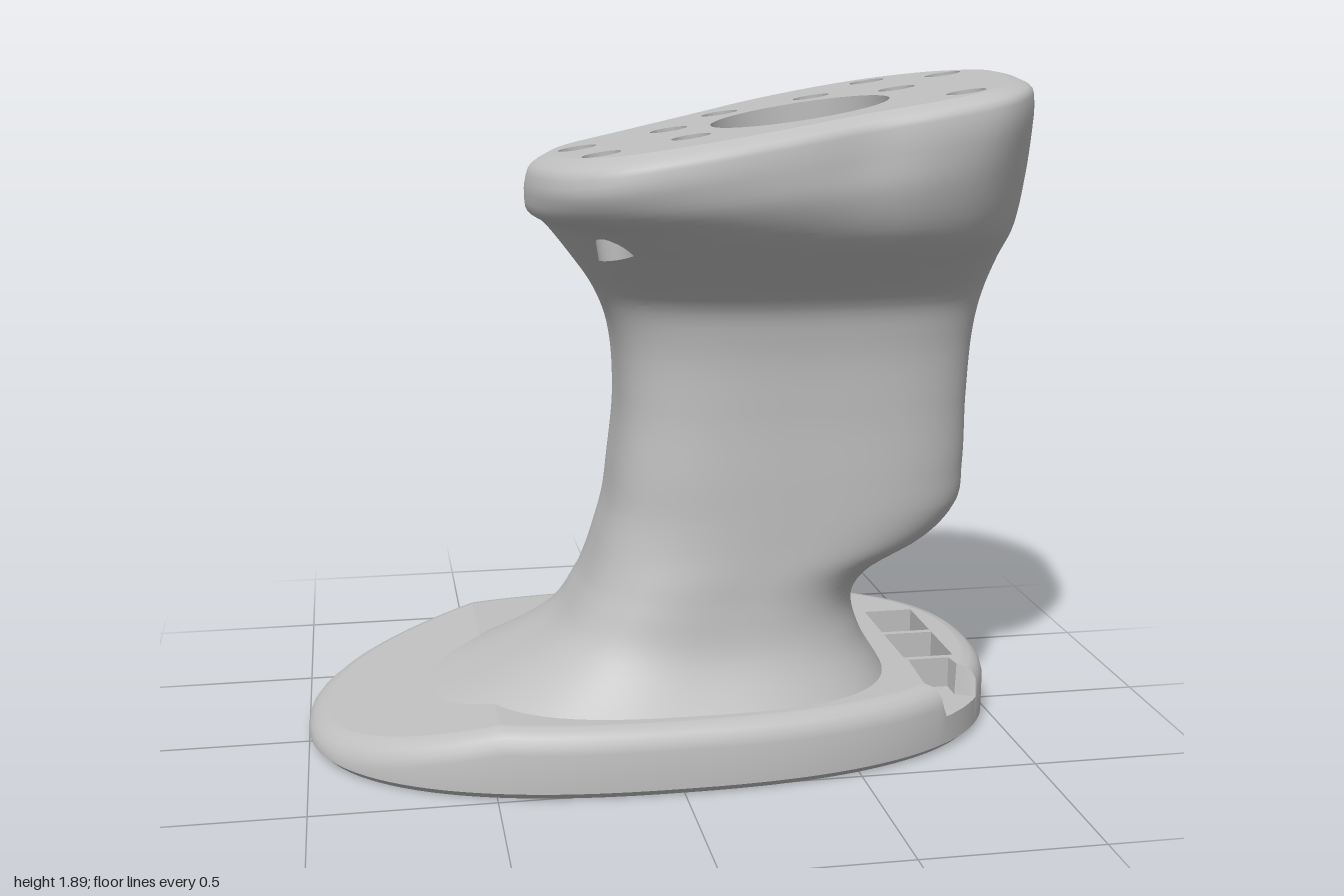
import * as THREE from 'three';
import { toCreasedNormals } from 'three/addons/utils/BufferGeometryUtils.js';

const grey = new THREE.MeshStandardMaterial({ color: 0xc0c0c0, side: THREE.DoubleSide });
grey.name = 'plain grey';
const V = (x, y, z) => new THREE.Vector3(x, y, z);

function addMesh(group, name, geometry) {
  const mesh = new THREE.Mesh(toCreasedNormals(geometry, 0.6), grey);
  mesh.name = name;
  group.add(mesh);
}

// Skin over closed rings of equal length, skipping collapsed triangles
function loft(rings) {
  const pos = [];
  const tri = (a, b, c) => {
    const area = b.clone().sub(a).cross(c.clone().sub(a)).length();
    if (area > 1e-9) for (const p of [a, b, c]) pos.push(p.x, p.y, p.z);
  };
  for (let i = 0; i < rings.length - 1; i++) {
    const lo = rings[i], hi = rings[i + 1], n = lo.length;
    for (let j = 0; j < n; j++) {
      const k = (j + 1) % n;
      tri(lo[j], hi[j], lo[k]);
      tri(hi[j], hi[k], lo[k]);
    }
  }
  const g = new THREE.BufferGeometry();
  g.setAttribute('position', new THREE.Float32BufferAttribute(pos, 3));
  return g;
}

// Upward facing plate over a ring, with holes, set to height(x)
function plate(ring, holes, height) {
  const flat = (r) => r.map((p) => new THREE.Vector2(p.x, -p.z));
  const shape = new THREE.Shape(flat(ring));
  shape.holes = holes.map((h) => new THREE.Path(flat(h)));
  const g = new THREE.ShapeGeometry(shape).rotateX(-Math.PI / 2);
  const p = g.attributes.position;
  for (let i = 0; i < p.count; i++) p.setY(i, height(p.getX(i)));
  g.computeVertexNormals();
  return g;
}

// Blind hole below a rim: walls going down, then a floor
function recess(rim, depth, lean = 0) {
  const floor = rim.map((p) => V(p.x + lean * depth, p.y - depth, p.z));
  const mid = floor.reduce((s, p) => s.add(p), V(0, 0, 0)).divideScalar(floor.length);
  return loft([rim, floor, floor.map(() => mid)]);
}

// ---- Base: full oval foot with a sloping tail and a tray at one end
function buildBase() {
  const base = new THREE.Group();
  base.name = 'base';
  const N = 320, top = 0.19, floor = 0.1, trayBack = 0.14;
  const oval = Array.from({ length: N }, (_, i) => {
    const a = (i / N) * Math.PI * 2, c = Math.cos(a), s = Math.sin(a);
    return [Math.sign(c) * Math.abs(c) ** (2 / 2.4), Math.sign(s) * Math.abs(s) ** (2 / 2.4)];
  });
  const breakX = 0.94 * oval[104][0];
  const height = (x) => top - Math.max(0, breakX - x) * 0.24;
  const profile = [
    [0.02, () => 0], [0, () => 0.02],
    [0, (h, f) => h - f], [0.006, (h, f) => h - 0.62 * f],
    [0.018, (h, f) => h - 0.29 * f], [0.036, (h, f) => h - 0.08 * f], [0.06, (h) => h],
  ];
  const isNotch = (i) => oval[i][0] > 0.775 && oval[i][0] < 0.922 && oval[i][1] > 0;
  const rings = profile.map(([inset, rise]) => oval.map(([u, v], i) => {
    const x = u * (1 - inset), z = -0.075 + v * (0.615 - inset);
    const h = height(x), y = rise(h, Math.min(0.06, h - 0.03));
    return V(x, isNotch(i) ? Math.min(y, floor) : y, z);
  }));
  // open tray corner: floor runs in to a back wall
  const last = rings[rings.length - 1];
  for (const y of [floor, top])
    rings.push(last.map((p, i) => (isNotch(i) ? V(p.x, y, trayBack) : p.clone())));
  rings.unshift(rings[0].map(() => V(0, 0, -0.075)));
  addMesh(base, 'baseBody', loft(rings));

  const edge = rings[rings.length - 1];
  const pockets = [[-0.29, -0.1], [-0.08, 0.12]].map(([z0, z1]) =>
    [V(0.73, top, z0), V(0.88, top, z0), V(0.88, top, z1), V(0.73, top, z1)]);
  addMesh(base, 'baseTop', plate(edge.filter((p) => p.x > breakX - 1e-5), pockets, height));
  addMesh(base, 'baseTail', plate(edge.filter((p) => p.x < breakX + 1e-5), [], height));
  for (const p of pockets) addMesh(base, 'trayPocket', recess(p, top - floor));
  return base;
}

// ---- Grip: stacked sections blending from a rounded box to the head outline
const headCurve = new THREE.CatmullRomCurve3([
  [1, 0.02], [0.975, 0.25], [0.91, 0.48], [0.78, 0.63], [0.61, 0.662], [0.45, 0.65], [0.25, 0.68], [0, 0.685],
  [-0.2, 0.64], [-0.31, 0.52], [-0.37, 0.3], [-0.365, 0.15], [-0.3, 0.04], [-0.1, -0.08], [0.12, -0.21],
  [0.36, -0.35], [0.58, -0.4], [0.73, -0.378], [0.87, -0.28], [0.96, -0.13],
].map(([x, z]) => V((x - 0.31) / 0.685, 0, (z - 0.143) / 0.545)), true);
const headPoints = headCurve.getPoints(180);

function headRadius(a) {
  const c = Math.cos(a), s = Math.sin(a);
  for (let i = 0; i < headPoints.length - 1; i++) {
    const p = headPoints[i], q = headPoints[i + 1];
    const cp = c * p.z - s * p.x, cq = c * q.z - s * q.x;
    if (cp <= 0 && cq > 0 && c * p.x + s * p.z > 0) {
      const t = -cp / (cq - cp);
      return c * (p.x + t * (q.x - p.x)) + s * (p.z + t * (q.z - p.z));
    }
  }
  return 1;
}

// y, left x, right x, back z, front z, squareness, head blend, tilt
const sections = [
  [0.14, -0.68, 0.69, -0.5, 0.49, 2.9, 0, 0],
  [0.19, -0.54, 0.66, -0.46, 0.455, 2.9, 0, 0],
  [0.32, -0.32, 0.585, -0.355, 0.39, 2.9, 0, 0],
  [0.45, -0.225, 0.565, -0.315, 0.37, 2.9, 0, 0],
  [0.52, -0.195, 0.625, -0.305, 0.367, 2.9, 0, 0],
  [0.6, -0.17, 0.78, -0.295, 0.365, 3, 0, 0],
  [0.69, -0.145, 0.862, -0.29, 0.365, 3.1, 0, 0],
  [0.8, -0.13, 0.874, -0.283, 0.365, 3.2, 0, 0],
  [1.0, -0.112, 0.876, -0.275, 0.365, 3.2, 0, 0],
  [1.2, -0.13, 0.89, -0.285, 0.38, 3.1, 0, 0],
  [1.3, -0.17, 0.91, -0.3, 0.41, 3, 0, 0],
  [1.4, -0.24, 0.932, -0.33, 0.51, 2.8, 0.1, 0],
  [1.5, -0.32, 0.963, -0.375, 0.62, 2.6, 0.3, 0],
  [1.6, -0.37, 0.988, -0.4, 0.678, 2.4, 0.6, 0.09],
  [1.68, -0.378, 0.998, -0.405, 0.69, 2.2, 0.92, 0.14],
  [1.73, -0.375, 0.997, -0.402, 0.688, 2.2, 1, 0.16],
  [1.77, -0.355, 0.98, -0.388, 0.673, 2.2, 1, 0.16],
  [1.788, -0.31, 0.935, -0.35, 0.63, 2.2, 1, 0.16],
];
const blendSections = new THREE.CubicInterpolant(
  sections.map((s) => s[0]), sections.flatMap((s) => s.slice(1)), 7);

function gripRing(y, floorX) {
  const [x0, x1, z0, z1, n, blend, tilt] = Array.from(blendSections.evaluate(y));
  const cx = (x0 + x1) / 2, cz = (z0 + z1) / 2, a = (x1 - x0) / 2, b = (z1 - z0) / 2;
  const radius = (t) => {
    const box = (Math.abs(Math.cos(t)) ** n + Math.abs(Math.sin(t)) ** n) ** (-1 / n);
    return blend > 0.001 ? box + (headRadius(t) - box) * Math.min(1, blend) : box;
  };
  // angle at which the right-hand face reaches a given z
  const angleAt = (z) => {
    let lo = -1.2, hi = 1.2;
    for (let i = 0; i < 24; i++) {
      const m = (lo + hi) / 2;
      if (cz + b * radius(m) * Math.sin(m) < z) lo = m; else hi = m;
    }
    return lo;
  };
  const point = (t, inside) => {
    const x = cx + a * radius(t) * Math.cos(t), z = cz + b * radius(t) * Math.sin(t);
    return V(inside && floorX ? floorX : x, y + tilt * (x - 0.31), z);
  };
  const from = angleAt(-0.115), to = angleAt(0.21), ring = [point(from)];
  for (let i = 0; i <= 8; i++) ring.push(point(from + ((to - from) * i) / 8, true));
  const rest = Math.PI * 2 + from - to;
  for (let i = 0; i < 90; i++) ring.push(point(to + (rest * i) / 90));
  return ring;
}

function buildGrip() {
  const grip = new THREE.Group();
  grip.name = 'grip';
  // side slots: bottom, top, floor x
  const slots = [[0.7, 0.85, 0.76], [0.925, 1.075, 0.77], [1.145, 1.295, 0.78], [1.37, 1.52, 0.83]];
  const rows = [];
  for (const [y0, y1, f] of slots) rows.push([y0, 0], [y0, f], [y1, f], [y1, 0]);
  for (let y = 0.14; y < 1.74; y += 0.0203) {
    const slot = slots.find((s) => y > s[0] && y < s[1]);
    rows.push([y, slot ? slot[2] : 0]);
  }
  for (const y of [1.745, 1.757, 1.767, 1.775, 1.781, 1.785, 1.788]) rows.push([y, 0]);
  rows.sort((p, q) => p[0] - q[0]);
  const rings = rows.map(([y, f]) => gripRing(y, f));
  addMesh(grip, 'gripBody', loft(rings));

  // tilted head face with one large bore and ten small holes
  const height = (x) => 1.788 + 0.16 * (x - 0.31);
  const circle = (x, z, r, n) => Array.from({ length: n }, (_, i) => {
    const t = (i / n) * Math.PI * 2, px = x + r * Math.cos(t);
    return V(px, height(px), z + r * Math.sin(t));
  });
  const bore = circle(0.35, 0.26, 0.235, 64);
  const holes = [
    [0.675, -0.235], [0.845, -0.055], [0.465, -0.07], [0.2, -0.06], [0.02, 0.14],
    [-0.235, 0.2], [-0.205, 0.445], [0.03, 0.41], [0.725, 0.5], [0.66, 0.11],
  ].map(([x, z]) => circle(x, z, 0.05, 28));
  const edge = rings[rings.length - 1].filter((p, i, r) => i === 0 || p.distanceTo(r[i - 1]) > 1e-6);
  addMesh(grip, 'headFace', plate(edge, [bore, ...holes], height));
  addMesh(grip, 'mainBore', recess(bore, 0.35, 0.16));
  for (const h of holes) addMesh(grip, 'smallHole', recess(h, 0.26, 0.16));
  return grip;
}

export function createModel() {
  const model = new THREE.Group();
  model.name = 'controlGrip';
  model.add(buildBase(), buildGrip());
  return model;
}
